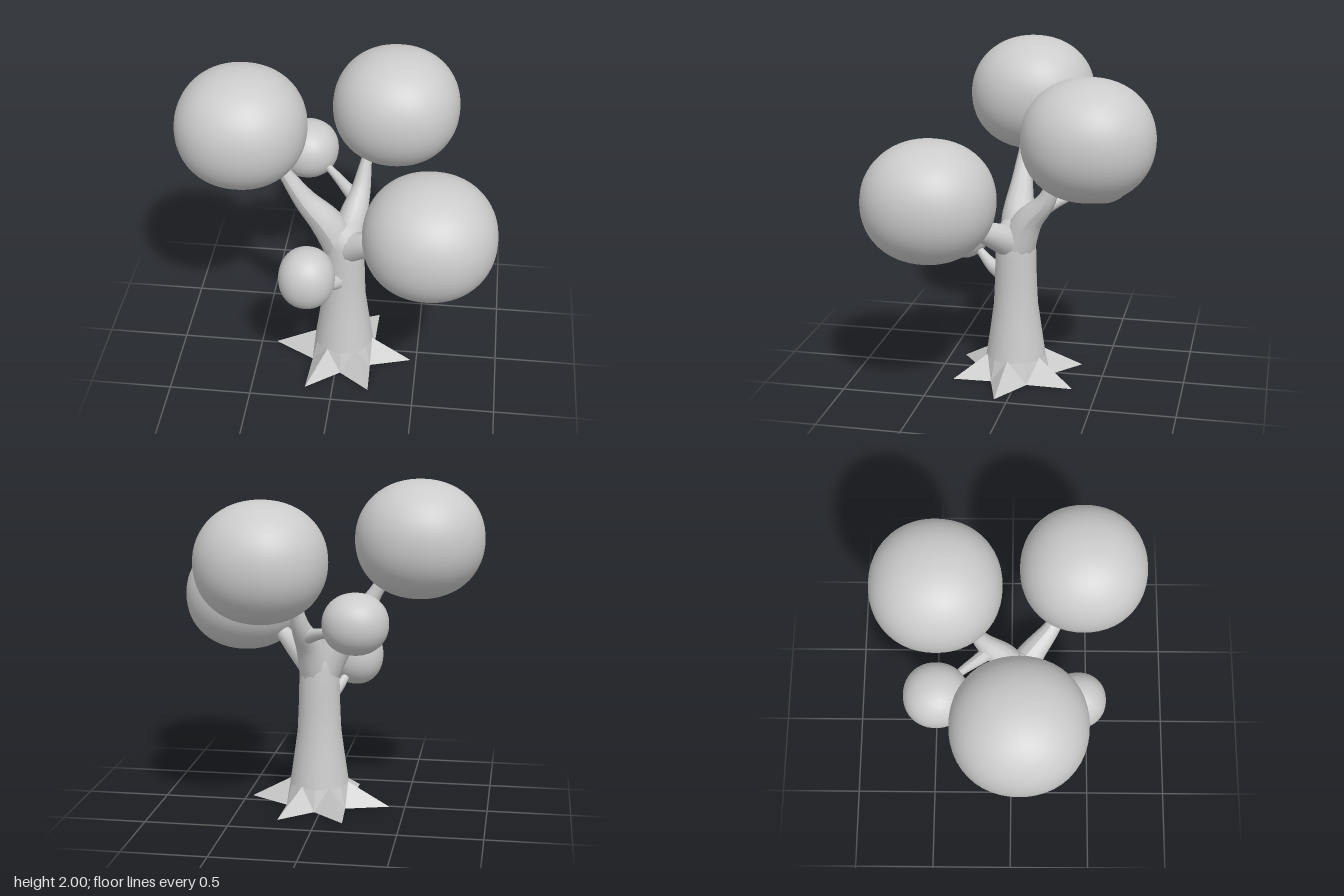
import * as THREE from 'three';

const material = new THREE.MeshStandardMaterial({ color: 0xcccccc });
const rootMaterial = new THREE.MeshStandardMaterial({ color: 0xcccccc, flatShading: true });
const V = (x, y, z) => new THREE.Vector3(x, y, z);
const CENTRE = 0.035; // trunk axis in x and z

// Slightly boxy ellipsoid of leaves
function foliage(name, centre, radius) {
  const geo = new THREE.SphereGeometry(1, 48, 32);
  const pos = geo.attributes.position;
  const p = 2.12;
  for (let i = 0; i < pos.count; i++) {
    const v = V().fromBufferAttribute(pos, i);
    const n = (Math.abs(v.x) ** p + Math.abs(v.y) ** p + Math.abs(v.z) ** p) ** (1 / p);
    v.divideScalar(n).multiply(V(...radius));
    pos.setXYZ(i, v.x, v.y, v.z);
  }
  geo.computeVertexNormals();
  const mesh = new THREE.Mesh(geo, material);
  mesh.name = name;
  mesh.position.set(...centre);
  return mesh;
}

// Tube through the points, tapering through the radii
function limb(name, points, radii) {
  const steps = 16, sides = 12;
  const curve = new THREE.CatmullRomCurve3(points.map((q) => V(...q)));
  const geo = new THREE.TubeGeometry(curve, steps, 1, sides);
  const pos = geo.attributes.position;
  for (let i = 0; i <= steps; i++) {
    const c = curve.getPointAt(i / steps);
    const t = (i / steps) * (radii.length - 1);
    const k = Math.min(Math.floor(t), radii.length - 2);
    const r = THREE.MathUtils.lerp(radii[k], radii[k + 1], t - k);
    for (let j = 0; j <= sides; j++) {
      const n = i * (sides + 1) + j;
      const v = V().fromBufferAttribute(pos, n).sub(c).multiplyScalar(r).add(c);
      pos.setXYZ(n, v.x, v.y, v.z);
    }
  }
  geo.computeVertexNormals();
  const mesh = new THREE.Mesh(geo, material);
  mesh.name = name;
  return mesh;
}

// Six-pointed root flare: star on the ground joined to the trunk ring
function roots() {
  const tips = [[0.465, 0.08], [0.22, 0.39], [-0.17, 0.405], [-0.405, -0.01], [-0.16, -0.35], [0.23, -0.35]];
  const ground = [], ring = [];
  const angles = tips.map(([x, z]) => Math.atan2(z - CENTRE, x - CENTRE));
  const onCircle = (a, r, y) => V(CENTRE + r * Math.cos(a), y, CENTRE + r * Math.sin(a));
  tips.forEach(([x, z], i) => {
    let next = angles[(i + 1) % 6];
    if (next < angles[i]) next += Math.PI * 2;
    const mid = (angles[i] + next) / 2;
    ground.push(V(x, 0, z), onCircle(mid, 0.215, 0));
    ring.push(onCircle(angles[i], 0.182, 0.14), onCircle(mid, 0.182, 0.13));
  });
  const corners = [];
  const base = V(CENTRE, 0, CENTRE);
  for (let i = 0; i < 12; i++) {
    const j = (i + 1) % 12;
    // keep each ridge straight from tip to trunk
    if (i % 2 === 0) corners.push(ground[i], ring[i], ground[j], ground[j], ring[i], ring[j]);
    else corners.push(ground[i], ring[i], ring[j], ground[i], ring[j], ground[j]);
    corners.push(base, ground[i], ground[j]);
  }
  const geo = new THREE.BufferGeometry().setFromPoints(corners);
  geo.computeVertexNormals();
  const mesh = new THREE.Mesh(geo, rootMaterial);
  mesh.name = 'roots';
  return mesh;
}

export function createModel() {
  const tree = new THREE.Group();
  tree.name = 'tree';

  // Trunk, narrowing from the root flare to the fork
  const profile = [[0.182, 0.13], [0.157, 0.3], [0.135, 0.46], [0.128, 0.6], [0.124, 0.75],
    [0.122, 0.88], [0.11, 0.94], [0.07, 0.985], [0, 1.0]];
  const trunk = new THREE.Mesh(
    new THREE.LatheGeometry(profile.map(([r, y]) => new THREE.Vector2(r, y)), 24), material);
  trunk.name = 'trunk';
  trunk.position.set(CENTRE, 0, CENTRE);
  tree.add(trunk, roots());

  // Branches
  tree.add(
    limb('rightBranch', [[0.02, 0.82, 0.035], [-0.07, 1.0, 0.04], [-0.2, 1.16, 0.045], [-0.34, 1.38, 0.045], [-0.42, 1.5, 0.045]],
      [0.11, 0.1, 0.068, 0.042, 0.035]),
    limb('backBranch', [[0.05, 0.84, 0.02], [0.08, 1.0, -0.05], [0.115, 1.13, -0.16], [0.14, 1.29, -0.23], [0.18, 1.42, -0.3]],
      [0.11, 0.088, 0.06, 0.035, 0.03]),
    limb('leftBranch', [[0.06, 0.85, 0.06], [0.15, 0.91, 0.13], [0.27, 0.99, 0.24], [0.4, 1.1, 0.33]],
      [0.1, 0.075, 0.05, 0.035]),
    limb('backTwig', [[0.1, 1.07, -0.12], [0.03, 1.1, -0.19], [-0.07, 1.14, -0.3], [-0.17, 1.19, -0.38]],
      [0.05, 0.035, 0.025, 0.018]),
    limb('frontTwig', [[0.01, 0.63, 0.11], [-0.03, 0.66, 0.19], [-0.08, 0.72, 0.27], [-0.12, 0.8, 0.35]],
      [0.055, 0.04, 0.026, 0.018]),
  );

  // Leaf clusters
  const big = [0.383, 0.352, 0.384];
  tree.add(
    foliage('rightFoliage', [-0.565, 1.648, 0.045], big),
    foliage('backFoliage', [0.298, 1.562, -0.437], big),
    foliage('leftFoliage', [0.562, 1.228, 0.43], big),
    foliage('smallBackFoliage', [-0.245, 1.222, -0.437], [0.191, 0.177, 0.192]),
    foliage('smallFrontFoliage', [-0.147, 0.858, 0.405], [0.166, 0.187, 0.17]),
  );
  return tree;
}
